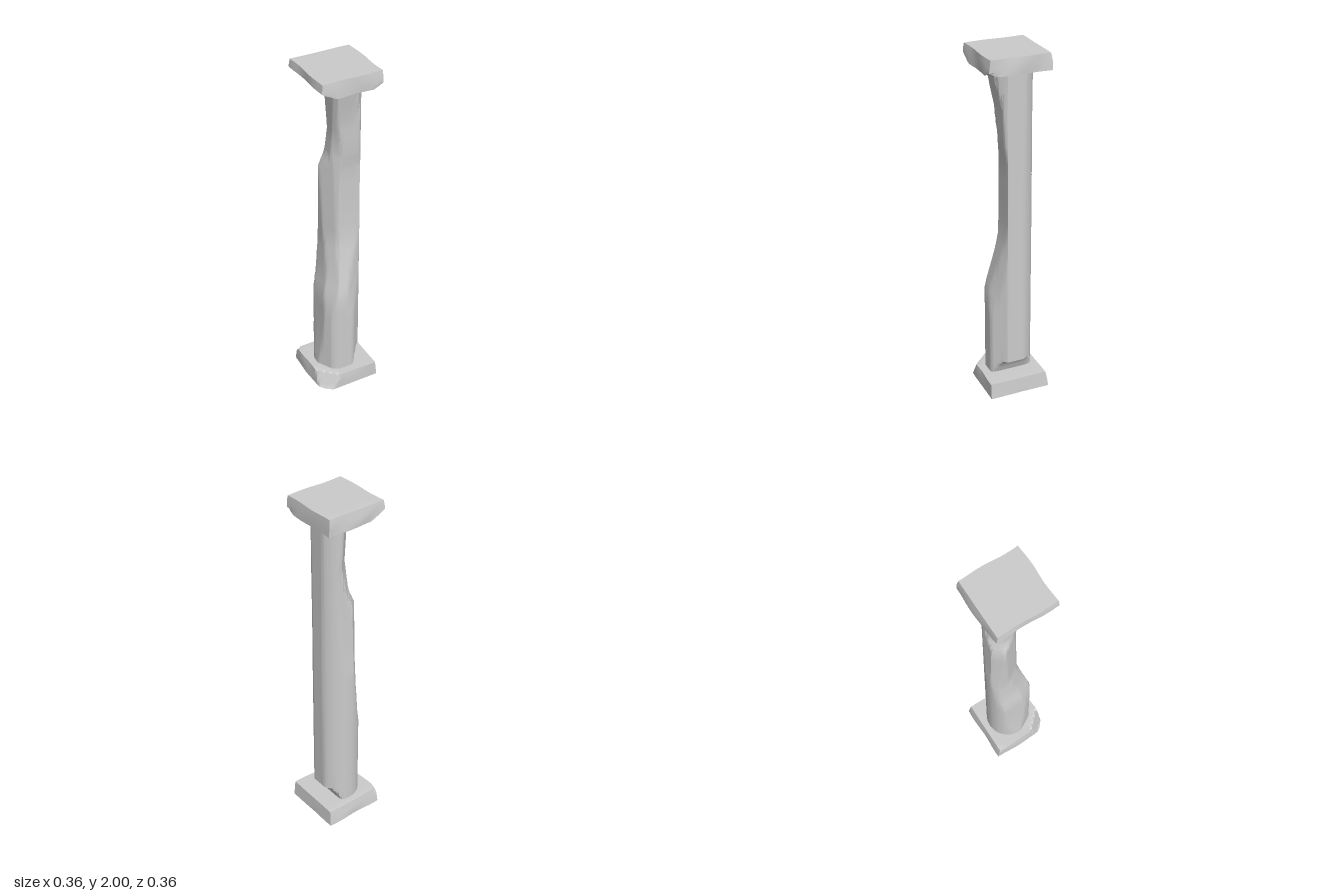
import * as THREE from 'three';
import { toCreasedNormals } from 'three/addons/utils/BufferGeometryUtils.js';

const stone = new THREE.MeshStandardMaterial({ color: 0xcccccc });

// Linear interpolation through [y, value] pairs
function sample(keys, y) {
  if (y <= keys[0][0]) return keys[0][1];
  for (let i = 1; i < keys.length; i++) {
    const [y0, a] = keys[i - 1], [y1, b] = keys[i];
    if (y <= y1) return a + (b - a) * (y - y0) / (y1 - y0);
  }
  return keys[keys.length - 1][1];
}

// Worn faces of the shaft: direction (x, z) and distance from the axis by height
const cuts = [
  { dir: [-1, 0], keys: [[0.08, 0.13], [0.3, 0.11], [0.6, 0.1], [0.72, 0.075], [0.9, 0.062], [1.2, 0.068], [1.4, 0.074], [1.48, 0.04], [1.6, 0.035], [1.91, 0.058]] },
  { dir: [0, 1], keys: [[0.6, 0.125], [0.8, 0.083], [0.95, 0.056], [1.05, 0.05], [1.4, 0.05], [1.5, 0.062], [1.7, 0.07], [1.91, 0.108]] },
  { dir: [-1, 1], keys: [[0.6, 0.13], [0.85, 0.062], [0.95, 0.045], [1.5, 0.037], [1.7, 0.065], [1.91, 0.108]] },
  { dir: [-1, -1], keys: [[0.1, 0.13], [0.6, 0.13], [1.02, 0.108], [1.4, 0.097], [1.5, 0.066], [1.65, 0.046], [1.91, 0.058]] },
  { dir: [0, -1], keys: [[1.0, 0.13], [1.04, 0.125], [1.4, 0.113], [1.6, 0.109], [1.91, 0.12]] },
  { dir: [1, 1], keys: [[0.08, 0.121]] },
  // Long hollow beside the sharp side ridge
  { dir: [-0.88, 0.48], keys: [[0.5, 0.12], [0.6, 0.108], [0.75, 0.07], [0.95, 0.04], [1.4, 0.037], [1.6, 0.04], [1.91, 0.09]] },
  // Shallow scoop beside the front face
  { dir: [0.5, 1], keys: [[0.48, 0.13], [0.6, 0.114], [0.7, 0.106], [0.85, 0.099], [1.4, 0.097], [1.7, 0.11], [1.91, 0.125]] },
  // Undercut notch at the foot
  { dir: [1, 0], keys: [[0.08, 0.05], [0.15, 0.078], [0.16, 0.088], [0.18, 0.121], [1.0, 0.124], [1.9, 0.121]] },
].map(({ dir, keys }) => ({ angle: Math.atan2(dir[1], dir[0]), keys }));

function shaftRadius(angle, y) {
  let r = 0.13;
  for (const cut of cuts) {
    const c = Math.cos(angle - cut.angle);
    if (c > 0.05) r = Math.min(r, sample(cut.keys, y) / c);
  }
  return r;
}

// Rings of the worn shaft, stitched from bottom to top
function shaftGeometry() {
  const sides = 96;
  const rows = [0.08, 0.12, 0.15, 0.16, 0.18, 0.3, 0.45, 0.52, 0.6, 0.66, 0.72, 0.8, 0.85, 0.9, 0.95, 1.02, 1.05,
    1.2, 1.3, 1.4, 1.44, 1.48, 1.5, 1.6, 1.65, 1.7, 1.8, 1.92];
  const points = [], index = [];
  rows.forEach((y, j) => {
    for (let i = 0; i < sides; i++) {
      const a = (i / sides) * Math.PI * 2, r = shaftRadius(a, y);
      points.push(r * Math.cos(a), y, r * Math.sin(a));
      if (j === 0) continue;
      const n = (i + 1) % sides, low = (j - 1) * sides, high = j * sides;
      index.push(low + i, high + i, low + n, low + n, high + i, high + n);
    }
  });
  const geo = new THREE.BufferGeometry();
  geo.setAttribute('position', new THREE.Float32BufferAttribute(points, 3));
  geo.setIndex(index);
  return toCreasedNormals(geo, 0.5);
}

// Square slab with slightly wavy sides; each chip is a plane [normal, point] that trims it
function slabGeometry(half, y0, y1, phase, chips) {
  const geo = new THREE.BoxGeometry(half * 2, y1 - y0, half * 2, 12, 4, 12);
  geo.translate(0, (y0 + y1) / 2, 0);
  const pos = geo.attributes.position, p = new THREE.Vector3();
  const planes = chips.map(([n, q]) =>
    new THREE.Plane().setFromNormalAndCoplanarPoint(new THREE.Vector3(...n).normalize(), new THREE.Vector3(...q)));
  for (let i = 0; i < pos.count; i++) {
    p.fromBufferAttribute(pos, i);
    const { x, y, z } = p;
    const t = (y - y0) / (y1 - y0);
    // Waves along the rim and a top edge that leans inward
    const wave = (s) => 0.003 * Math.sin(s * 25 + phase + t * 2) - 0.006 * t * t;
    if (Math.abs(x) > half - 1e-4) p.x += Math.sign(x) * wave(z + x);
    if (Math.abs(z) > half - 1e-4) p.z += Math.sign(z) * wave(x - z);
    for (const plane of planes) {
      const d = plane.distanceToPoint(p);
      if (d > 0) p.addScaledVector(plane.normal, -d);
    }
    p.y = THREE.MathUtils.clamp(p.y, y0, y1);
    pos.setXYZ(i, p.x, p.y, p.z);
  }
  geo.deleteAttribute('uv');
  return toCreasedNormals(geo, 0.45);
}

export function createModel() {
  const group = new THREE.Group();
  const add = (name, geometry) => {
    const mesh = new THREE.Mesh(geometry, stone);
    mesh.name = name;
    group.add(mesh);
  };

  add('shaft', shaftGeometry());

  // Base slab: one front corner broken off, back edge sloping, a side and the back corner nicked
  add('baseSlab', slabGeometry(0.179, 0, 0.092, 0.6, [
    [[-1, 0.6, 1], [-0.135, 0.03, 0.135]],
    [[0, 0.2, -1], [0, 0.08, -0.167]],
    [[-1, 1.2, -1], [-0.165, 0.08, -0.165]],
    [[1, 0.1, 0], [0.175, 0.03, 0]],
    [[0, 0, 1], [0, 0, 0.176]],
  ]));

  // Top slab: underside broken away along one side, back rim sloping
  add('topSlab', slabGeometry(0.176, 1.91, 2, 2.4, [
    [[-0.5, -1, 0], [-0.1, 1.915, 0]],
    [[0, 0.2, -1], [0, 1.99, -0.167]],
    [[-0.5, -1, -0.6], [-0.15, 1.935, -0.165]],
    [[0.5, -1, 0.5], [0.165, 1.925, 0.165]],
  ]));

  return group;
}
